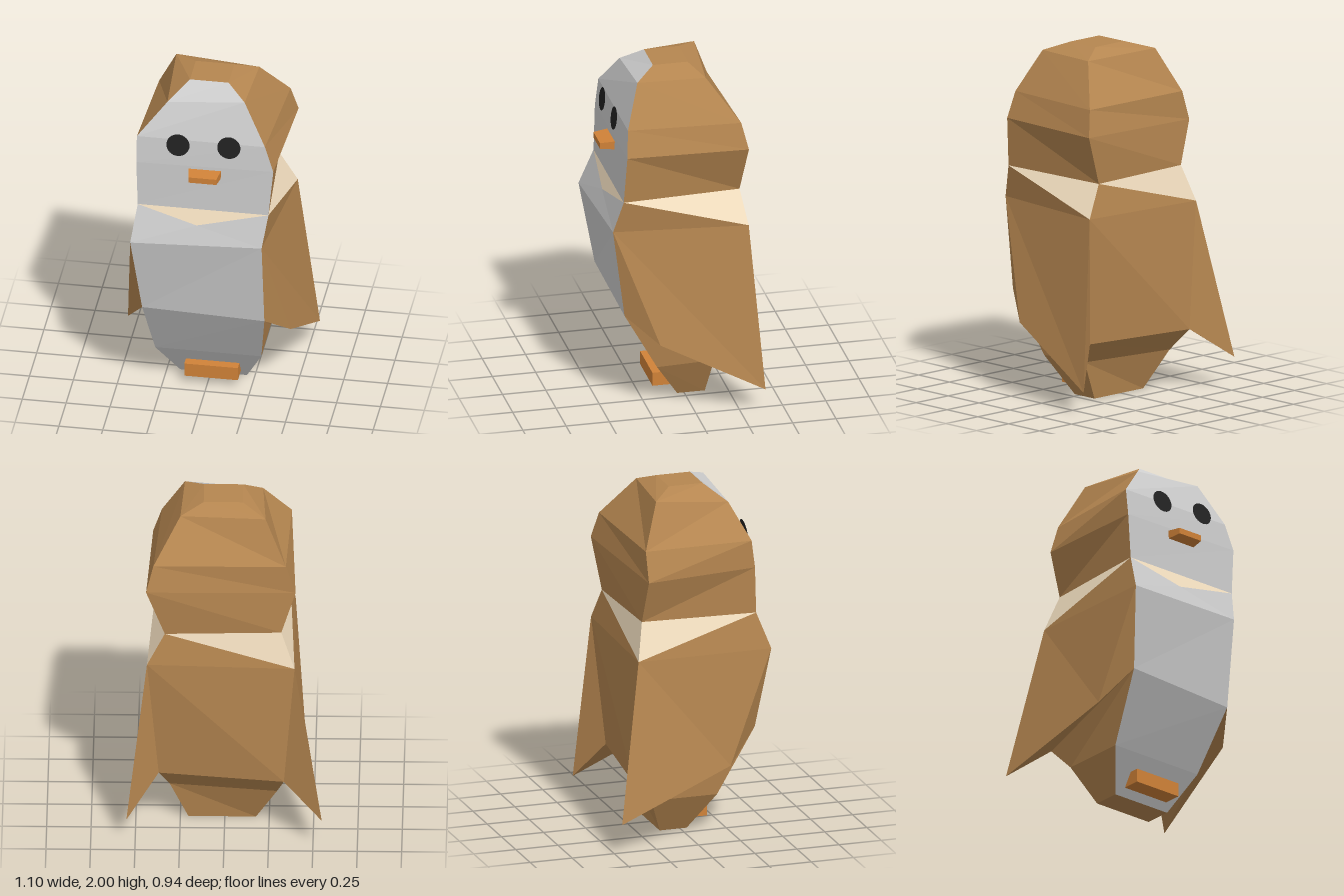
import * as THREE from 'three';

// Cross-sections, top to bottom; corners: front +x, front -x, back -x, back +x
const crown = [[0.12, 2, 0.16], [-0.1, 2, 0.16], [-0.1, 2, -0.04], [0.12, 2, -0.04]];
const brow = [[0.23, 1.95, 0.275], [-0.21, 1.91, 0.275], [-0.23, 1.96, -0.16], [0.25, 1.95, -0.115]];
const eyeLine = [[0.36, 1.72, 0.36], [-0.37, 1.72, 0.36], [-0.345, 1.71, -0.26], [0.4, 1.72, -0.285]];
const cheek = [[0.41, 1.57, 0.375], [-0.37, 1.56, 0.38], [-0.4, 1.54, -0.26], [0.44, 1.57, -0.32]];
const neck = [[0.385, 1.29, 0.39], [-0.36, 1.29, 0.39], [-0.32, 1.29, -0.275], [0.335, 1.285, -0.29]];
const shoulder = [[0.355, 1.1, 0.445], [-0.39, 1.08, 0.47], [-0.395, 1.08, -0.32], [0.435, 1.1, -0.32]];
const belly = [[0.36, 0.58, 0.38], [-0.335, 0.61, 0.39], [-0.335, 0.35, -0.33], [0.37, 0.36, -0.255]];
const hip = [[0.31, 0.22, 0.18], [-0.295, 0.22, 0.18], [-0.295, 0.22, -0.21], [0.31, 0.23, -0.15]];
const base = [[0.205, 0, 0.04], [-0.175, 0, 0.04], [-0.175, 0, -0.12], [0.205, 0, -0.12]];
const bibTip = [-0.02, 1.2, 0.42];

function mat(color, extra = {}) {
  return new THREE.MeshStandardMaterial({ color, flatShading: true, ...extra });
}

function facesMesh(name, faces, material) {
  const pos = [];
  for (const f of faces) {
    for (let i = 1; i < f.length - 1; i++) pos.push(...f[0], ...f[i], ...f[i + 1]);
  }
  const g = new THREE.BufferGeometry();
  g.setAttribute('position', new THREE.Float32BufferAttribute(pos, 3));
  g.computeVertexNormals();
  const m = new THREE.Mesh(g, material);
  m.name = name;
  return m;
}

// Upper and lower triangle of one side between two cross-sections
function sidePair(up, low, i) {
  const j = (i + 1) % 4;
  return i < 2
    ? [[up[j], low[j], up[i]], [low[j], low[i], up[i]]]
    : [[up[j], low[i], up[i]], [up[j], low[j], low[i]]];
}

export function createModel() {
  const group = new THREE.Group();
  const brown = mat(0xb58650);
  const orange = mat(0xd08238);
  const coat = [], front = [], collar = [];

  // Head and lower body: pale front, brown sides and back
  const bands = [[crown, brow], [brow, eyeLine], [eyeLine, cheek], [cheek, neck], [belly, hip], [hip, base]];
  for (const [up, low] of bands) {
    for (let i = 0; i < 4; i++) (i === 0 ? front : coat).push(...sidePair(up, low, i));
  }
  coat.push([crown[0], crown[3], crown[2], crown[1]], base);

  // Torso between the wings
  front.push(...sidePair(shoulder, belly, 0));
  coat.push(...sidePair(shoulder, belly, 2));

  // Collar: upper triangles pale, with a pointed bib in front
  for (let i = 1; i < 4; i++) {
    const [upper, lower] = sidePair(neck, shoulder, i);
    collar.push(upper);
    coat.push(lower);
  }
  collar.push([neck[1], bibTip, neck[0]]);
  front.push([neck[1], shoulder[1], bibTip], [shoulder[1], shoulder[0], bibTip], [bibTip, shoulder[0], neck[0]]);

  group.add(facesMesh('coat', coat, brown));
  group.add(facesMesh('faceAndBelly', front, mat(0xcccccc)));
  group.add(facesMesh('collar', collar, mat(0xf3dfc0)));

  // Wings: flared outer panel, back gusset and underside
  const wings = [
    { name: 'leftWing', f: 0, b: 3, fold: [0.48, 0.43, 0.2], tip: [0.55, 0.13, -0.39] },
    { name: 'rightWing', f: 1, b: 2, fold: [-0.445, 0.43, 0.21], tip: [-0.55, 0.18, -0.47] },
  ];
  for (const { name, f, b, fold, tip } of wings) {
    const faces = [
      [shoulder[f], fold, tip, shoulder[b]],
      [shoulder[f], belly[f], fold],
      [shoulder[b], tip, belly[b]],
      [belly[f], belly[b], tip, fold],
    ];
    if (f === 1) faces.forEach((face) => face.reverse());
    group.add(facesMesh(name, faces, brown));
  }

  // Eyes: flat discs leaning with the face
  const eyeMat = mat(0x222222, { side: THREE.DoubleSide });
  for (const [name, x, y] of [['rightEye', -0.13, 1.705], ['leftEye', 0.16, 1.715]]) {
    const eye = new THREE.Mesh(new THREE.CircleGeometry(0.066, 32), eyeMat);
    eye.name = name;
    eye.position.set(x, y, 0.395);
    eye.rotation.x = -0.15;
    group.add(eye);
  }

  // Beak: box narrowing toward the front
  const beakGeo = new THREE.BoxGeometry(0.185, 0.05, 0.09);
  const p = beakGeo.attributes.position;
  for (let i = 0; i < p.count; i++) {
    if (p.getZ(i) > 0) p.setXY(i, p.getX(i) * 0.86, p.getY(i) * 0.68);
  }
  const beak = new THREE.Mesh(beakGeo, orange);
  beak.name = 'beak';
  beak.position.set(0.02, 1.522, 0.416);
  group.add(beak);

  // Feet: one block across the front
  const feet = new THREE.Mesh(new THREE.BoxGeometry(0.305, 0.08, 0.125), orange);
  feet.name = 'feet';
  feet.position.set(0.0225, 0.085, 0.1125);
  group.add(feet);

  return group;
}
